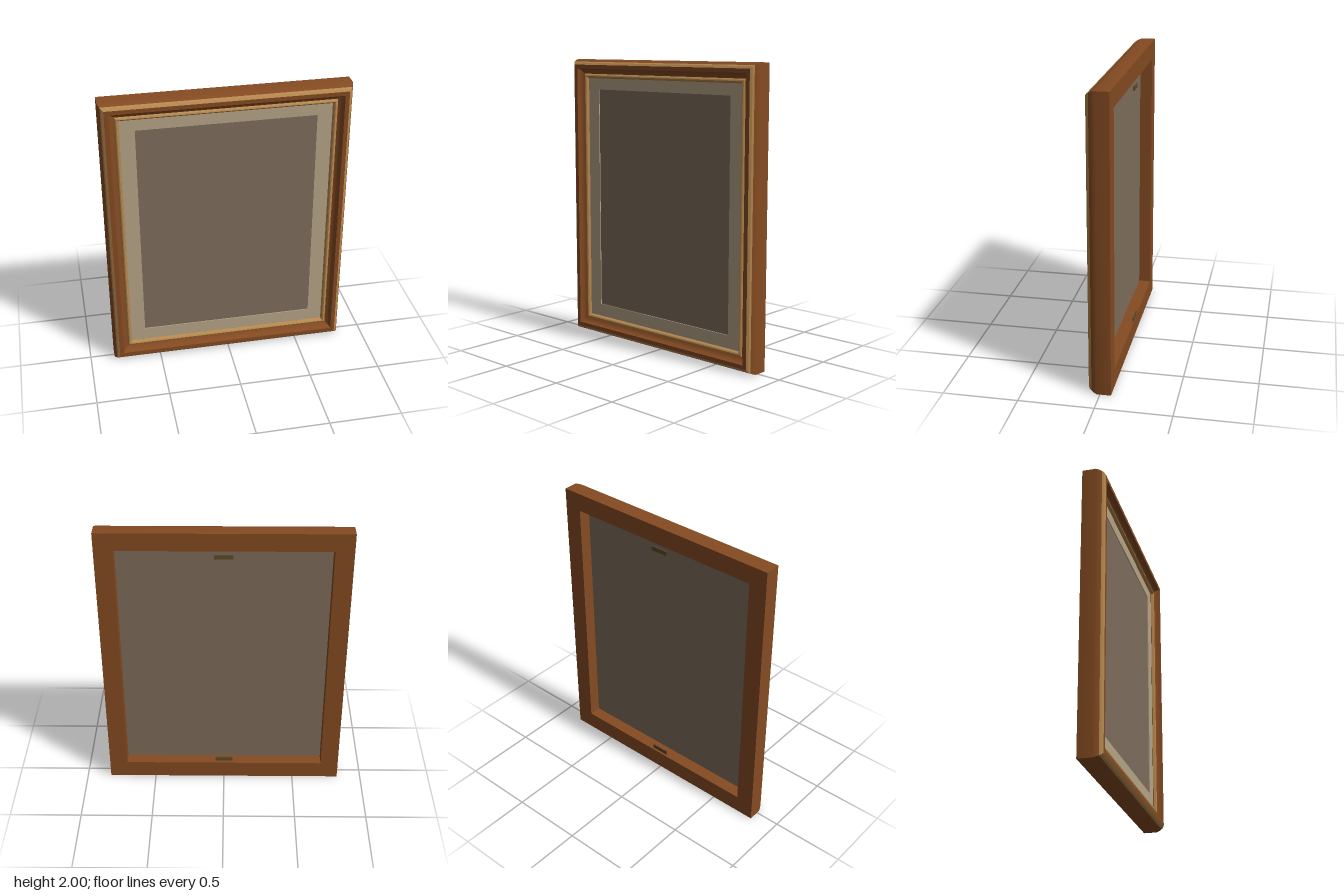
import * as THREE from 'three';
import { toCreasedNormals } from 'three/addons/utils/BufferGeometryUtils.js';

const W = 0.83, H = 1; // half width and half height of the frame

function material(name, color) {
  const m = new THREE.MeshStandardMaterial({ color });
  m.name = name;
  return m;
}

// Sweeps a profile of [inset, z] points round the rectangle with mitred corners
function moulding(name, profile, mat) {
  const corners = [[-1, -1], [1, -1], [1, 1], [-1, 1]];
  const point = (c, [inset, z]) => [corners[c % 4][0] * (W - inset), H + corners[c % 4][1] * (H - inset), z];
  const pos = [];
  for (let c = 0; c < 4; c++) {
    for (let i = 0; i < profile.length - 1; i++) {
      const a = point(c, profile[i]), b = point(c + 1, profile[i]);
      const d = point(c, profile[i + 1]), e = point(c + 1, profile[i + 1]);
      pos.push(...a, ...b, ...e, ...a, ...e, ...d);
    }
  }
  const g = new THREE.BufferGeometry();
  g.setAttribute('position', new THREE.Float32BufferAttribute(pos, 3));
  const mesh = new THREE.Mesh(toCreasedNormals(g, 0.4), mat);
  mesh.name = name;
  return mesh;
}

export function createModel() {
  const group = new THREE.Group();
  group.name = 'pictureFrame';
  const wood = material('wood', 0x854b22);
  const gold = material('gold', 0xb8894f);
  const cream = material('cream', 0xb8a588);
  const taupe = material('taupe', 0x7f6e5c);
  const brass = material('darkBrass', 0x5f4a2a);

  // Wooden moulding: outer side and shoulder, crown and cove, rebate and back
  group.add(moulding('outerRail', [[0, -0.073], [0, 0.02], [0.004, 0.034], [0.009, 0.047], [0.015, 0.058]], wood));
  group.add(moulding('crownAndCove', [[0.036, 0.08], [0.064, 0.08], [0.068, 0.068], [0.076, 0.054],
    [0.087, 0.044], [0.1, 0.038]], wood));
  group.add(moulding('rebateAndBack', [[0.131, 0.028], [0.125, 0.02], [0.125, -0.073], [0, -0.073]], wood));

  // Gilded edge and inner bead
  group.add(moulding('outerGilding', [[0.015, 0.058], [0.022, 0.07], [0.036, 0.08]], gold));
  group.add(moulding('innerBead', [[0.1, 0.038], [0.108, 0.047], [0.116, 0.05], [0.124, 0.045], [0.131, 0.028]], gold));

  // Mat with its window
  const shape = new THREE.Shape([[-0.705, 0.125], [0.705, 0.125], [0.705, 1.875], [-0.705, 1.875]]
    .map(p => new THREE.Vector2(...p)));
  shape.holes.push(new THREE.Path([[-0.6, 0.22], [-0.6, 1.79], [0.6, 1.79], [0.6, 0.22]]
    .map(p => new THREE.Vector2(...p))));
  const mat = new THREE.Mesh(new THREE.ExtrudeGeometry(shape, { depth: 0.006, bevelEnabled: false }), cream);
  mat.name = 'mat';
  mat.position.z = 0.02;
  group.add(mat);

  // Picture panel, also seen from the back
  const panel = new THREE.Mesh(new THREE.BoxGeometry(1.41, 1.75, 0.008), taupe);
  panel.name = 'picturePanel';
  panel.position.set(0, 1, 0.016);
  group.add(panel);

  // Retaining clips at the back
  for (const [name, y] of [['upperClip', 1.837], ['lowerClip', 0.168]]) {
    const clip = new THREE.Mesh(new THREE.BoxGeometry(0.125, 0.03, 0.007), brass);
    clip.name = name;
    clip.position.set(0, y, -0.0775);
    group.add(clip);
  }
  return group;
}
